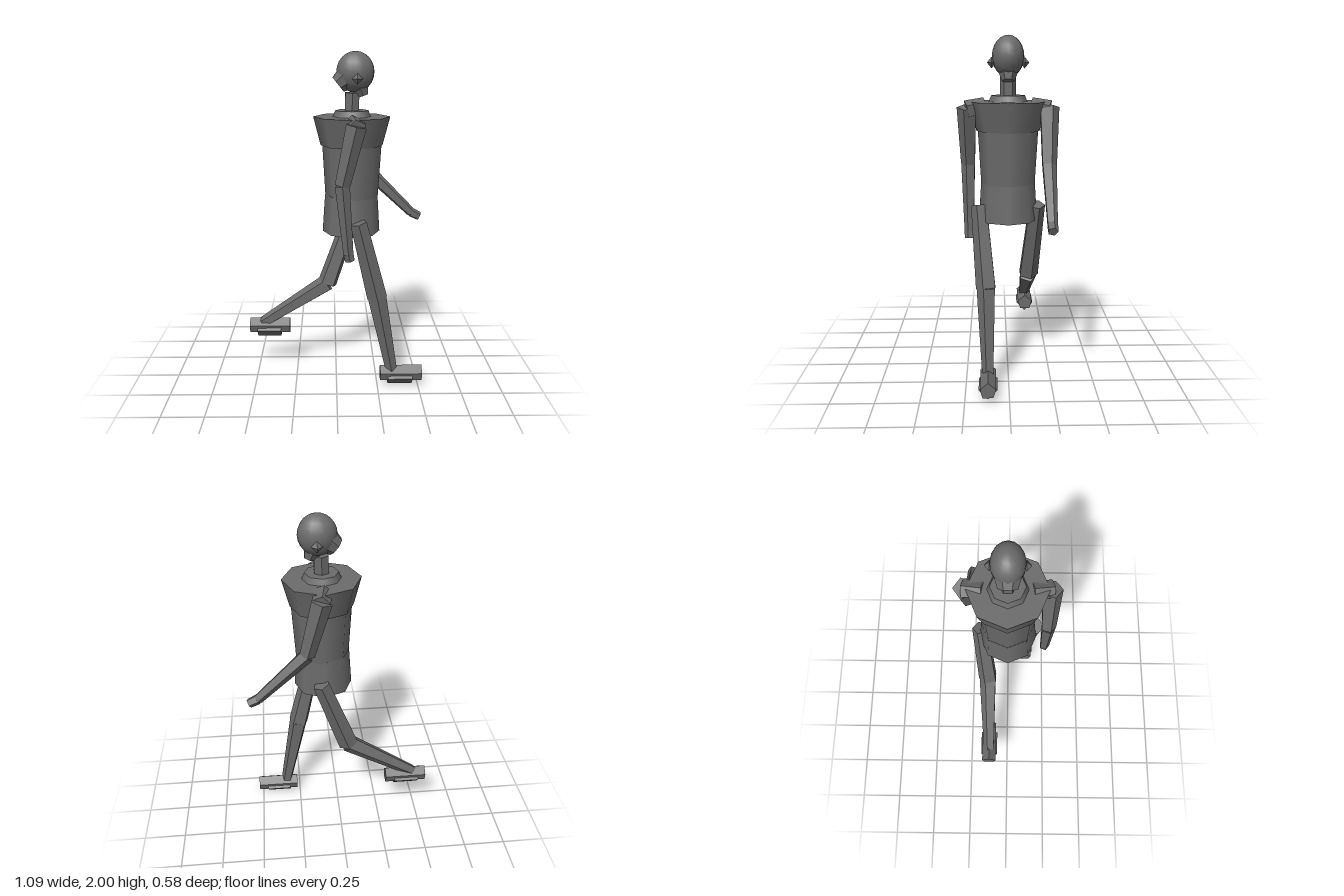
import * as THREE from 'three';

export function createModel() {
  const model = new THREE.Group();
  model.name = 'walkingFigure';

  const smoothGrey = new THREE.MeshStandardMaterial({ color: 0x6b6b6b });
  smoothGrey.name = 'grey';
  // same grey with faceted shading for the limbs
  const facetGrey = smoothGrey.clone();
  facetGrey.flatShading = true;

  function add(name, geometry, material = facetGrey, position = [0, 0, 0]) {
    const mesh = new THREE.Mesh(geometry, material);
    mesh.name = name;
    mesh.position.set(...position);
    model.add(mesh);
    return mesh;
  }

  // tapered prism between an upper and a lower point
  function limb(name, top, bottom, rTop, rBottom, sides = 5, turn = 0) {
    const a = new THREE.Vector3(...top), b = new THREE.Vector3(...bottom);
    const dir = a.clone().sub(b);
    const geometry = new THREE.CylinderGeometry(rTop, rBottom, dir.length(), sides, 1, false, turn);
    const mesh = add(name, geometry);
    mesh.position.copy(a).add(b).multiplyScalar(0.5);
    mesh.quaternion.setFromUnitVectors(new THREE.Vector3(0, 1, 0), dir.normalize());
    return mesh;
  }

  // upright eight-sided body segment
  function segment(name, x, y0, y1, r0, r1) {
    add(name, new THREE.CylinderGeometry(r1, r0, y1 - y0, 8), smoothGrey, [x, (y0 + y1) / 2, 0]);
  }
  segment('hips', 0.088, 0.955, 1.18, 0.17, 0.155);
  segment('waist', 0.09, 1.17, 1.47, 0.155, 0.172);
  segment('chest', 0.088, 1.47, 1.635, 0.18, 0.222);
  segment('neckBase', 0.088, 1.635, 1.67, 0.11, 0.095);
  limb('neck', [0.09, 1.77, 0], [0.088, 1.66, 0], 0.046, 0.046, 6);

  // head
  add('skull', new THREE.SphereGeometry(1, 16, 12), smoothGrey, [0.107, 1.885, 0]).scale.set(0.108, 0.115, 0.09);
  limb('backOfHead', [0.08, 1.872, 0], [0.01, 1.815, 0], 0.082, 0.055, 8, Math.PI / 8);
  limb('jaw', [0.12, 1.84, 0], [0.15, 1.752, 0], 0.07, 0.036, 6);
  for (const s of [1, -1]) {
    add('ear', new THREE.OctahedronGeometry(0.032), facetGrey, [0.115, 1.85, s * 0.092]).scale.z = 0.8;
  }

  // each side: joint positions along the stride, s is the sign of z
  const sides = [
    { s: 1, elbow: [0.03, 1.275], wrist: [0.066, 0.875], hand: [0.076, 0.835],
      hip: [0.125, 1.045], knee: [0.241, 0.58], ankle: [0.337, 0.1], foot: [0.395, 0] },
    { s: -1, elbow: [0.19, 1.285], wrist: [0.475, 1.01], hand: [0.525, 0.985],
      hip: [0.11, 1.045], knee: [-0.055, 0.575], ankle: [-0.47, 0.31], foot: [-0.422, 0.215] },
  ];

  // prism along x from a (z, y) outline
  function prism(outline, length) {
    const shape = new THREE.Shape(outline.map(([z, y]) => new THREE.Vector2(z, y)));
    const geometry = new THREE.ExtrudeGeometry(shape, { depth: length, bevelEnabled: false });
    return geometry.translate(0, 0, -length / 2).rotateY(Math.PI / 2);
  }
  const footOutline = [[0, 0.128], [-0.045, 0.09], [-0.03, 0.04], [0.03, 0.04], [0.045, 0.09]];
  const soleOutline = [[0, 0.003], [0.053, 0.058], [0.03, 0.08], [-0.03, 0.08], [-0.053, 0.058]];

  for (const { s, elbow, wrist, hand, hip, knee, ankle, foot } of sides) {
    const turn = s > 0 ? 0 : Math.PI;
    const at = (p, z) => [p[0], p[1], s * z];

    // arm
    limb('shoulder', [0.09, 1.612, s * 0.13], [0.11, 1.59, s * 0.235], 0.048, 0.054, 5, turn);
    limb('upperArm', [0.105, 1.605, s * 0.23], at(elbow, 0.228), 0.06, 0.045, 5, turn);
    limb('forearm', at(elbow, 0.228), at(wrist, 0.226), 0.044, 0.03, 5, turn);
    limb('hand', at(wrist, 0.226), at(hand, 0.226), 0.031, 0.028, 5, turn);

    // leg
    limb('thigh', at(hip, 0.165), at(knee, 0.126), 0.05, 0.062, 5, turn);
    limb('shin', at(knee, 0.126), at(ankle, 0.119), 0.058, 0.036, 5, turn);

    // foot
    const pos = [foot[0], foot[1], s * 0.12];
    add('foot', prism(footOutline, 0.255), facetGrey, pos);
    add('sole', prism(soleOutline, 0.15), facetGrey, [pos[0] - 0.005, pos[1], pos[2]]);
  }

  return model;
}
